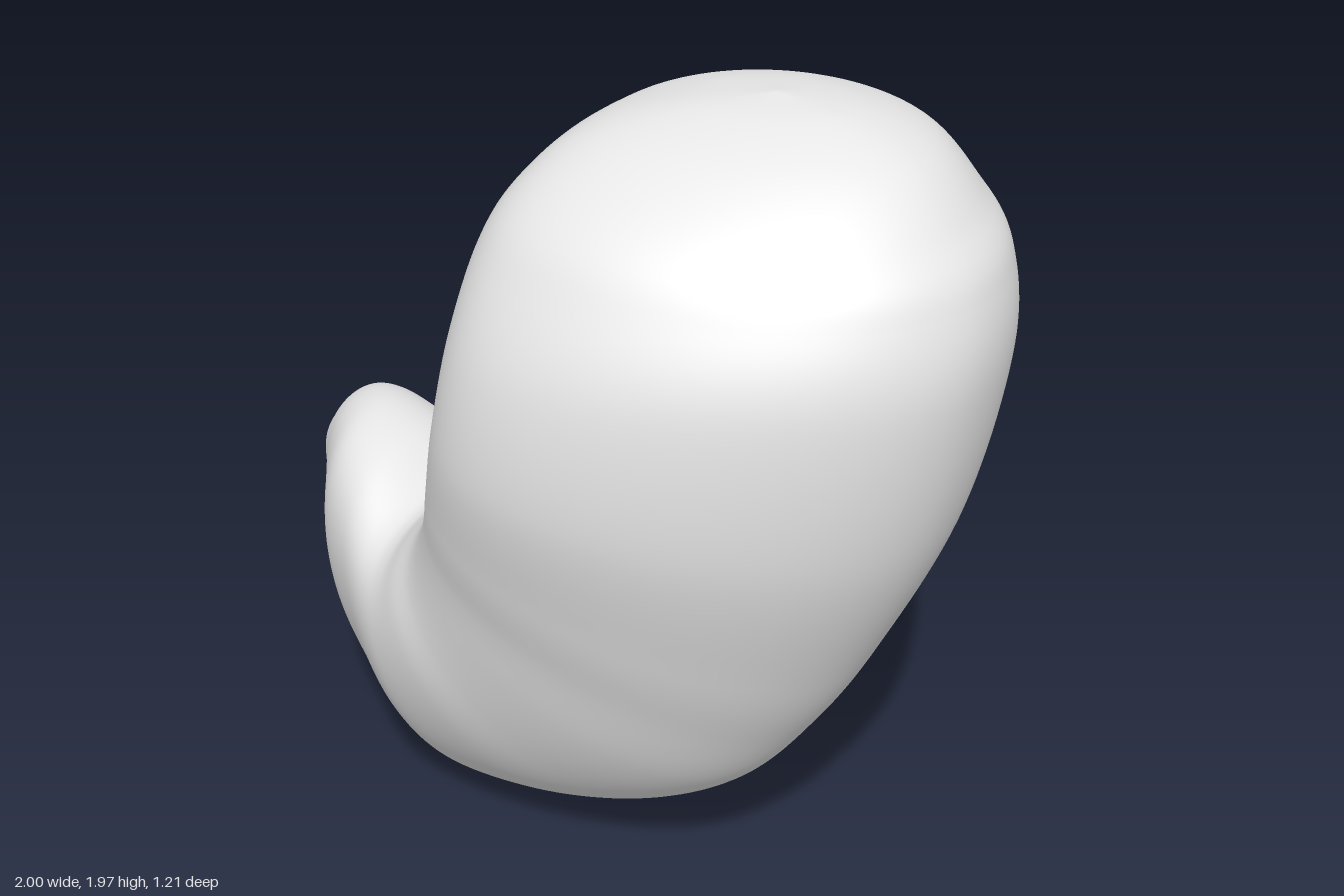
import * as THREE from 'three';
import { mergeVertices } from 'three/addons/utils/BufferGeometryUtils.js';

// Cross-sections from the narrow outlet to the closed dome:
// [outer x, outer y, inner x, inner y, front z, back z]
const SECTIONS = [
  [-1.0, 0.5, -0.975, 0.745, -0.085, -0.275],
  [-0.94, 0.35, -0.93, 0.8, -0.035, -0.32],
  [-0.84, 0.22, -0.85, 0.835, 0.06, -0.335],
  [-0.73, 0.1, -0.75, 0.845, 0.17, -0.34],
  [-0.52, 0.01, -0.62, 0.82, 0.27, -0.345],
  [-0.37, 0, -0.49, 0.755, 0.35, -0.355],
  [-0.22, 0, -0.43, 0.75, 0.39, -0.365],
  [0.06, 0.07, -0.385, 0.78, 0.43, -0.38],
  [0.31, 0.17, -0.34, 0.83, 0.45, -0.41],
  [0.51, 0.31, -0.305, 0.89, 0.475, -0.44],
  [0.65, 0.49, -0.27, 0.97, 0.505, -0.48],
  [0.77, 0.7, -0.23, 1.08, 0.55, -0.53],
  [0.93, 1.07, -0.175, 1.26, 0.6, -0.59],
  [1.0, 1.45, -0.14, 1.46, 0.575, -0.61],
  [0.97, 1.66, -0.11, 1.65, 0.485, -0.585],
  [0.89, 1.77, -0.055, 1.77, 0.39, -0.53],
  [0.77, 1.88, 0.04, 1.87, 0.23, -0.44],
  [0.61, 1.94, 0.21, 1.93, 0.06, -0.28],
  [0.42, 1.96, 0.42, 1.96, -0.1, -0.1],
];
const RINGS = 200;
const SIDES = 160;

// Oval opening in the upper inner wall
const OPENING = new THREE.Vector3(-0.08, 1.57, -0.205);
const OPENING_RADII = new THREE.Vector3(0.27, 0.22, 0.27);

function rail(pick) {
  const points = SECTIONS.map((s) => new THREE.Vector3(...pick(s)));
  return new THREE.CatmullRomCurve3(points, false, 'catmullrom', 0.5);
}

function bodyGeometry() {
  const outer = rail((s) => [s[0], s[1], 0]);
  const inner = rail((s) => [s[2], s[3], 0]);
  const depth = rail((s) => [s[4], s[5], 0]);
  const points = [];
  const inside = [];

  // Egg-shaped rings, widest towards the inner curve
  for (let i = 0; i <= RINGS; i++) {
    const t = i / RINGS;
    const o = outer.getPoint(t);
    const n = inner.getPoint(t);
    const d = depth.getPoint(t);
    for (let j = 0; j < SIDES; j++) {
      const a = (j / SIDES) * Math.PI * 2;
      const sin = Math.sin(a);
      const lean = sin > 0 ? 0.2 + 0.2 * t : 0.2 * (1 - t);
      const across = Math.cos(a) - lean * sin * sin;
      const p = n.clone().lerp(o, (1 + across) / 2);
      p.z = (d.x + d.y) / 2 + (sin * (d.x - d.y)) / 2;
      // Vertices within the opening move out to its rim
      const reach = p.clone().sub(OPENING).divide(OPENING_RADII);
      const isInside = reach.length() < 1;
      if (isInside) p.copy(reach.normalize().multiply(OPENING_RADII).add(OPENING));
      inside.push(isInside);
      points.push(p);
    }
  }

  // Join the rings, leaving out faces that lie wholly in the opening
  const index = [];
  const face = (a, b, c) => {
    if (!(inside[a] && inside[b] && inside[c])) index.push(a, b, c);
  };
  for (let i = 0; i < RINGS; i++) {
    for (let j = 0; j < SIDES; j++) {
      const a = i * SIDES + j;
      const b = i * SIDES + ((j + 1) % SIDES);
      face(a, a + SIDES, b);
      if (i < RINGS - 1) face(b, a + SIDES, b + SIDES);
    }
  }

  const geometry = new THREE.BufferGeometry().setFromPoints(points);
  geometry.setIndex(index);
  const merged = mergeVertices(geometry, 1e-5);
  merged.computeVertexNormals();
  return merged;
}

export function createModel() {
  const group = new THREE.Group();
  group.name = 'stomach';

  const grey = new THREE.MeshStandardMaterial({ color: 0xe7e7e7, side: THREE.DoubleSide });
  grey.name = 'light grey';

  // Hollow curved pouch with an outlet and an upper opening
  const body = new THREE.Mesh(bodyGeometry(), grey);
  body.name = 'stomachWall';
  group.add(body);
  return group;
}
